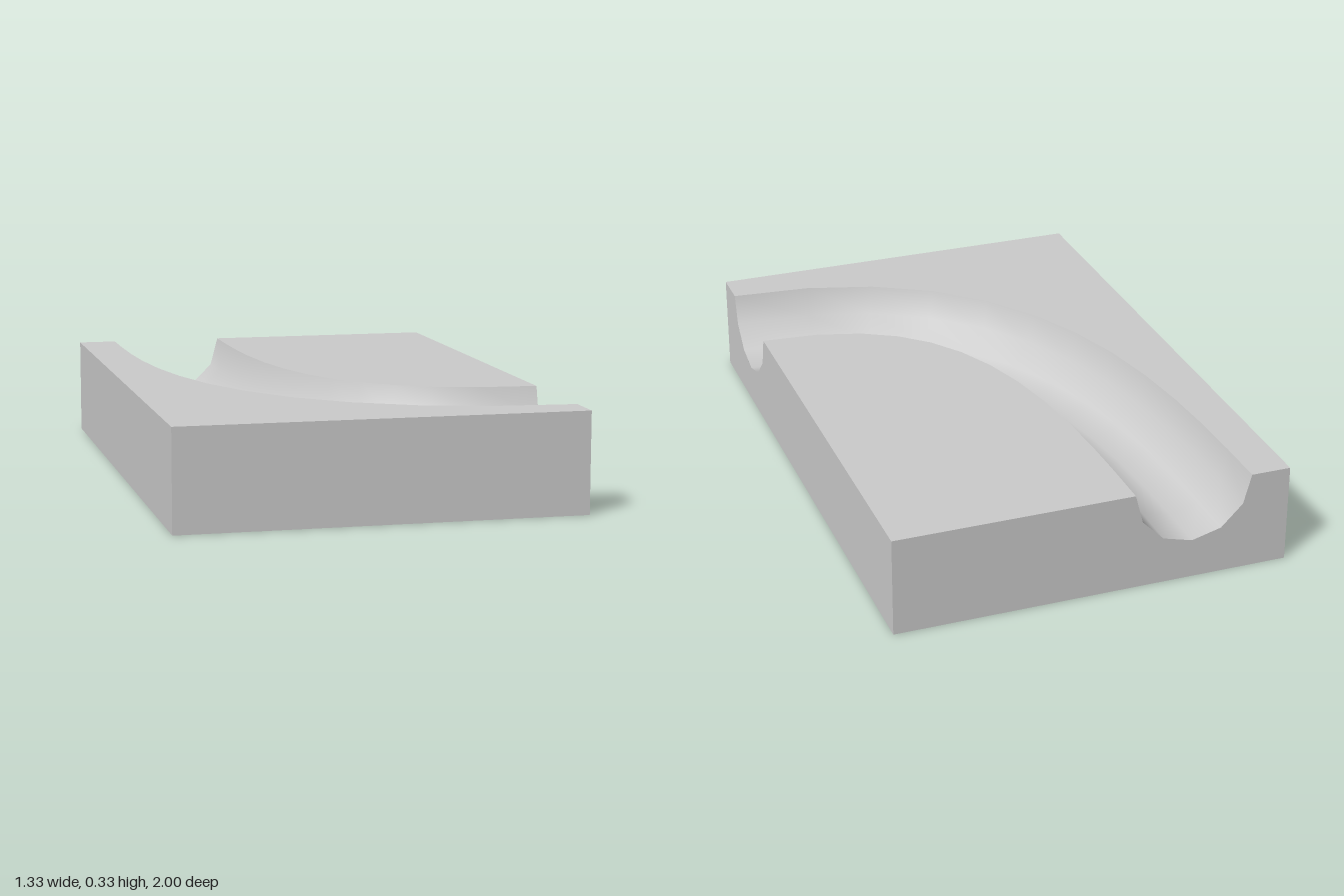
import * as THREE from 'three';

const W = 4 / 3, H = 1 / 3, L = 2, R = 0.2;  // block size and groove radius
const STEPS = 12, SIDES = 6;                 // groove segments along and across

export function createModel() {
  const model = new THREE.Group();
  const material = new THREE.MeshStandardMaterial({ color: 0xcccccc });
  const add = (name, geometry) => {
    const mesh = new THREE.Mesh(geometry, material);
    mesh.name = name;
    model.add(mesh);
    return mesh;
  };
  const v2 = (x, y) => new THREE.Vector2(x, y);

  // Groove centre line on the top face, as (x, z)
  const path = new THREE.CubicBezierCurve(
    v2(-1 / 3, -1), v2(-1 / 3, -1 / 3), v2(-1 / 3, 2 / 3), v2(W / 2, 2 / 3));

  // Half-round section swept along the path, from outer rim to inner rim
  const positions = [], indices = [], outer = [], inner = [];
  for (let i = 0; i <= STEPS; i++) {
    const p = path.getPoint(i / STEPS), t = path.getTangent(i / STEPS);
    for (let j = 0; j <= SIDES; j++) {
      const a = Math.PI * j / SIDES, s = -R * Math.cos(a);
      const x = p.x + t.y * s, z = p.y - t.x * s;
      positions.push(x, H - R * Math.sin(a), z);
      if (j === 0) outer.push(v2(x, -z));
      if (j === SIDES) inner.push(v2(x, -z));
      if (i < STEPS && j < SIDES) {
        const k = i * (SIDES + 1) + j, n = k + SIDES + 1;
        indices.push(k, n, k + 1, k + 1, n, n + 1);
      }
    }
  }
  const groove = new THREE.BufferGeometry();
  groove.setAttribute('position', new THREE.Float32BufferAttribute(positions, 3));
  groove.setIndex(indices);
  groove.computeVertexNormals();
  add('groove', groove);

  // Top faces on either side of the groove
  const top = (name, points) =>
    add(name, new THREE.ShapeGeometry(new THREE.Shape(points)).rotateX(-Math.PI / 2).translate(0, H, 0));
  top('outerTop', [...outer, v2(W / 2, -L / 2), v2(-W / 2, -L / 2), v2(-W / 2, L / 2)]);
  top('innerTop', [...inner, v2(W / 2, L / 2)]);

  // Upright wall turned about y, with an optional half-round notch in its upper edge
  const wall = (name, width, distance, angle, notch) => {
    const points = [v2(-width / 2, 0), v2(width / 2, 0), v2(width / 2, H)];
    if (notch !== undefined) {
      for (let j = 0; j <= SIDES; j++) {
        const a = Math.PI * j / SIDES;
        points.push(v2(notch + R * Math.cos(a), H - R * Math.sin(a)));
      }
    }
    points.push(v2(-width / 2, H));
    add(name, new THREE.ShapeGeometry(new THREE.Shape(points)).translate(0, 0, distance).rotateY(angle));
  };
  wall('frontWall', W, L / 2, 0);
  wall('leftWall', L, W / 2, Math.PI / 2, -2 / 3);
  wall('backWall', W, L / 2, Math.PI, 1 / 3);
  wall('rightWall', L, W / 2, -Math.PI / 2);

  // Underside
  add('base', new THREE.PlaneGeometry(W, L).rotateX(Math.PI / 2));
  return model;
}
